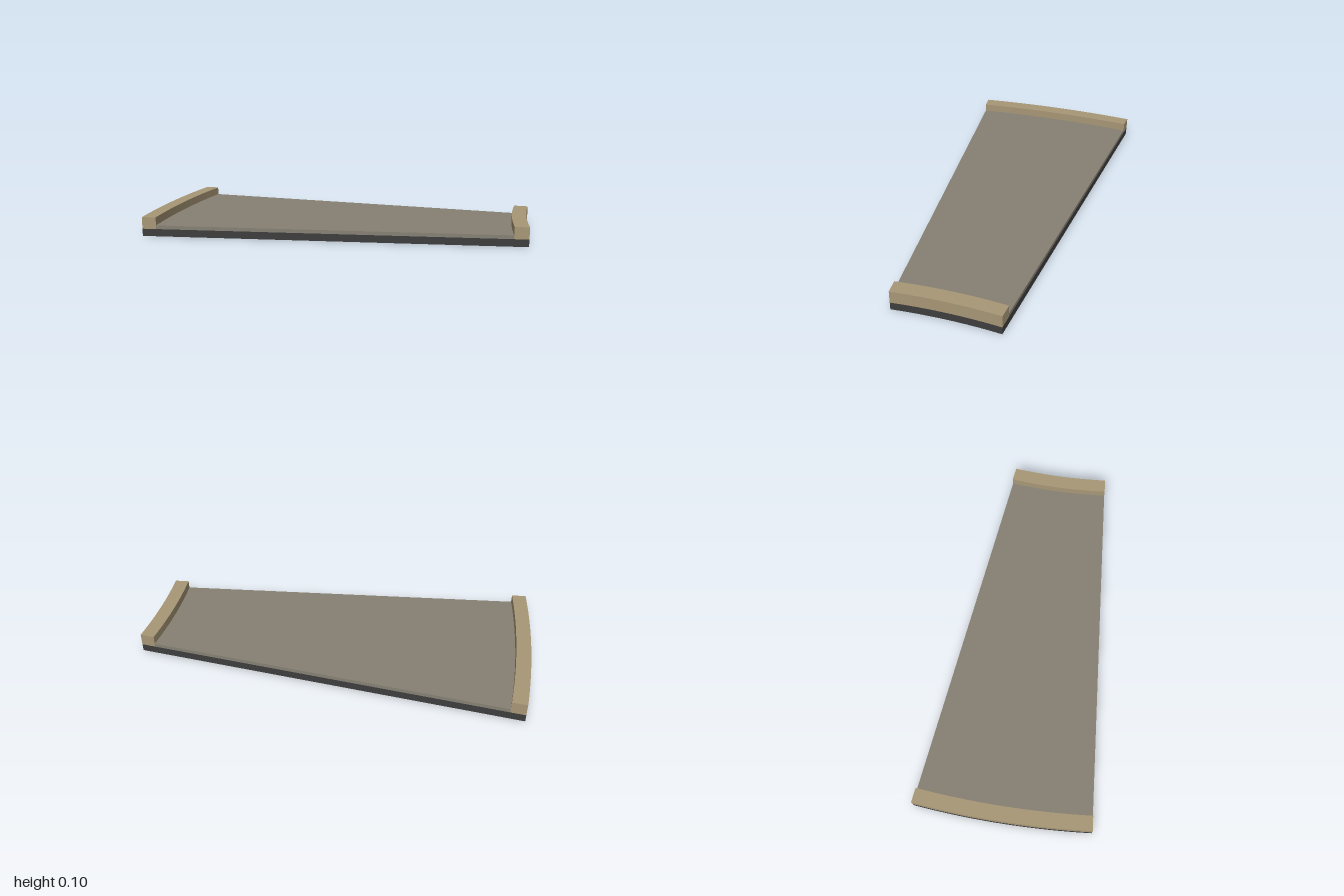
import * as THREE from 'three';

const CX = 3.562, Z0 = -0.445;           // centre of the bend
const OUTER = 4.562, INNER = 2.614, CURB = 0.073;
const SWEEP = Math.PI / 16, STEPS = 16;

// Slab between two radii of the bend, from height y0 to y1
function arcSlab(name, r0, r1, y0, y1, material) {
  const at = (r, i) => {
    const a = SWEEP * i / STEPS;
    return new THREE.Vector2(CX - r * Math.cos(a), Z0 + r * Math.sin(a));
  };
  const pts = [];
  for (let i = 0; i <= STEPS; i++) pts.push(at(r1, i));
  for (let i = STEPS; i >= 0; i--) pts.push(at(r0, i));
  const geo = new THREE.ExtrudeGeometry(new THREE.Shape(pts), { depth: y1 - y0, bevelEnabled: false });
  geo.rotateX(Math.PI / 2).translate(0, y1, 0);
  const mesh = new THREE.Mesh(geo, material);
  mesh.name = name;
  return mesh;
}

function paint(name, color) {
  const m = new THREE.MeshStandardMaterial({ color });
  m.name = name;
  return m;
}

export function createModel() {
  const dark = paint('dark grey', 0x3e3e3e);
  const deck = paint('grey brown', 0x878174);
  const tan = paint('tan', 0xa89776);

  const group = new THREE.Group();
  group.name = 'curvedRoadSection';
  group.add(
    arcSlab('base', INNER, OUTER, 0, 0.038, dark),
    arcSlab('roadDeck', INNER + CURB, OUTER - CURB, 0.038, 0.057, deck),
    arcSlab('outerCurb', OUTER - CURB, OUTER, 0.038, 0.099, tan),
    arcSlab('innerCurb', INNER, INNER + CURB, 0.038, 0.099, tan)
  );
  return group;
}
